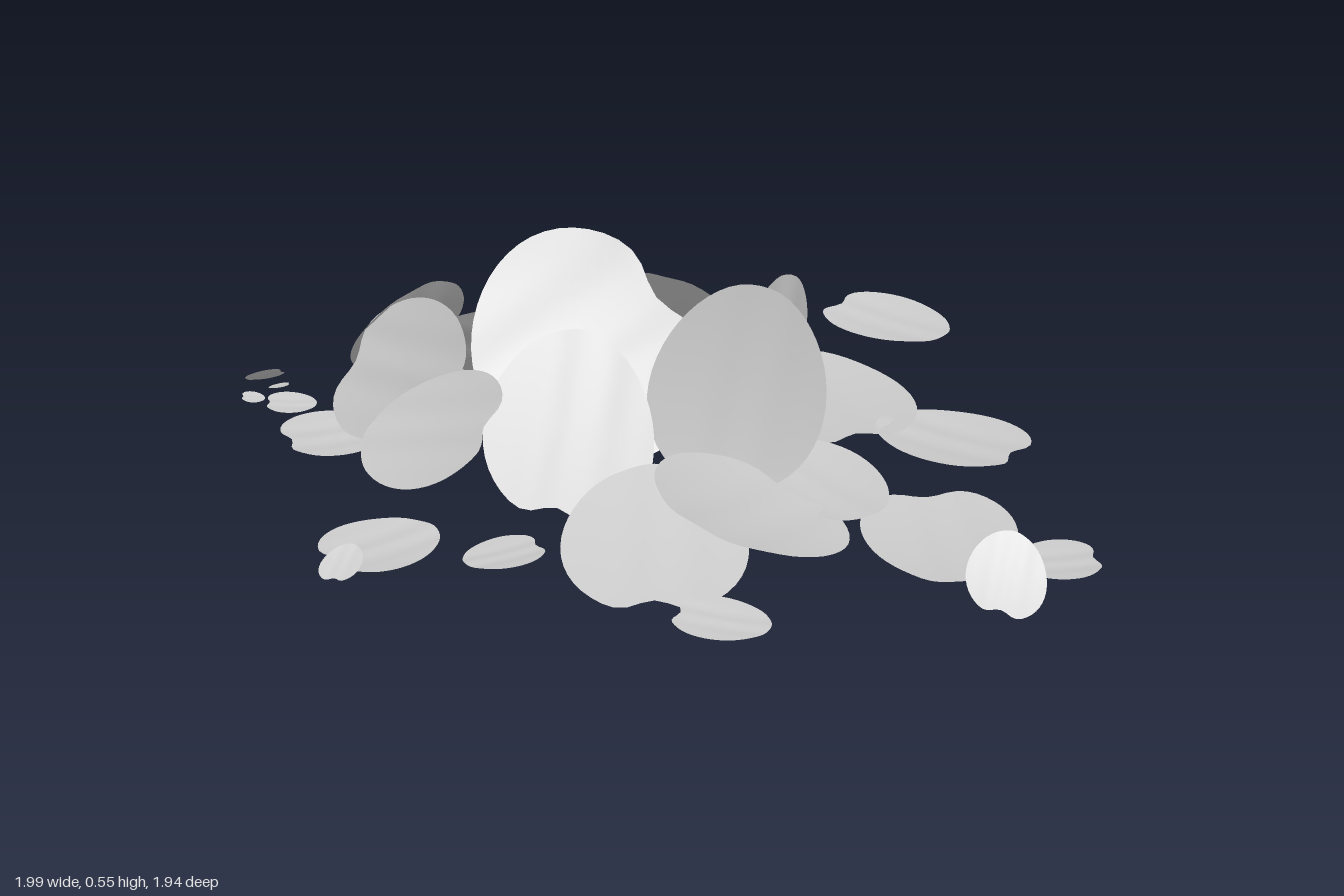
import * as THREE from 'three';

const material = new THREE.MeshStandardMaterial({ color: 0xcccccc, side: THREE.DoubleSide });
const RINGS = 8, SIDES = 48;

// Petal: notched oval, gently cupped and veined.
// centre, half length (towards the notch) and half width are [x, y, z].
function petal(name, centre, halfLength, halfWidth) {
  const c = new THREE.Vector3(...centre);
  const L = new THREE.Vector3(...halfLength);
  const W = new THREE.Vector3(...halfWidth);
  const up = W.clone().cross(L).normalize();
  if (up.y < 0) { W.negate(); up.negate(); }
  const size = W.length();

  const points = [], index = [];
  const addPoint = (u, v) => {
    const lift = size * (0.06 * (u * u + v * v) - 0.03 + 0.012 * Math.cos(9 * v) * (1 - v * v));
    const p = c.clone().addScaledVector(L, u).addScaledVector(W, v).addScaledVector(up, lift);
    points.push(p.x, p.y, p.z);
  };
  addPoint(0, 0);
  for (let r = 1; r <= RINGS; r++) {
    for (let s = 0; s < SIDES; s++) {
      const a = (s / SIDES) * Math.PI * 2;
      const fromNotch = Math.min(a, Math.PI * 2 - a);
      const k = r / RINGS;
      const notch = 0.2 * Math.exp(-Math.pow(fromNotch / 0.27, 2)) * k * k;
      const u = k * Math.cos(a);
      addPoint(u * 1.02 - notch, k * Math.sin(a) * (1 + 0.12 * u));
    }
  }
  const at = (r, s) => 1 + (r - 1) * SIDES + (s % SIDES);
  for (let s = 0; s < SIDES; s++) {
    index.push(0, at(1, s + 1), at(1, s));
    for (let r = 1; r < RINGS; r++) {
      index.push(at(r, s), at(r, s + 1), at(r + 1, s));
      index.push(at(r, s + 1), at(r + 1, s + 1), at(r + 1, s));
    }
  }
  const geometry = new THREE.BufferGeometry();
  geometry.setAttribute('position', new THREE.Float32BufferAttribute(points, 3));
  geometry.setIndex(index);
  geometry.computeVertexNormals();
  const mesh = new THREE.Mesh(geometry, material);
  mesh.name = name;
  return mesh;
}

// Petals lying on the ground: x, z, length, width, notch direction in degrees
const fallen = [
  [0.75, -0.74, 0.37, 0.28, 137],
  [0.075, -0.53, 0.27, 0.21, 140],
  [0.48, -0.24, 0.62, 0.46, 285],
  [0.78, 0.04, 0.4, 0.32, 320],
  [0.4, 0.25, 0.44, 0.33, 120],
  [0.66, 0.53, 0.44, 0.36, 90],
  [0.9, 0.675, 0.2, 0.2, 0],
  [0.11, 0.885, 0.22, 0.17, 160],
  [-0.63, 0.49, 0.29, 0.24, 215],
  [-0.35, 0.56, 0.19, 0.16, 20],
  [-0.41, -0.56, 0.26, 0.2, 320],
  [-0.75, -0.12, 0.28, 0.25, 200],
  [-0.97, -0.345, 0.06, 0.05, 180],
  [-0.905, -0.405, 0.055, 0.045, 0],
  [-0.87, -0.29, 0.13, 0.11, 180],
];

// Petals leaning in the heap: centre, half length, half width
const leaning = [
  [[-0.13, 0.3, -0.01], [0.22, 0.13, -0.085], [-0.18, 0.205, -0.14]],
  [[0.22, 0.3, 0.235], [-0.05, -0.25, 0.02], [0.2, -0.03, 0.06]],
  [[0.3, 0.26, 0.025], [-0.05, -0.23, 0], [0.13, -0.01, -0.145]],
  [[0.2, 0.245, -0.28], [0.06, -0.17, -0.17], [0.2, -0.08, 0.06]],
  [[-0.24, 0.22, -0.23], [0.28, -0.05, -0.06], [0.03, 0.17, 0.15]],
  [[-0.58, 0.22, -0.11], [-0.14, -0.05, -0.19], [0.09, 0.155, -0.07]],
  [[-0.51, 0.19, 0.18], [0.155, 0.06, 0.115], [0.07, 0.12, -0.07]],
  [[-0.18, 0.21, 0.235], [-0.05, -0.16, 0.19], [0.195, -0.04, 0.05]],
  [[-0.56, 0.205, -0.415], [-0.06, -0.16, -0.11], [0.135, 0, -0.085]],
  [[-0.33, 0.15, -0.485], [-0.06, -0.08, -0.075], [0.1, -0.045, -0.06]],
];

// Petals propped at a shallow angle around the heap
const propped = [
  [[-0.01, 0.1, 0.6], [-0.02, -0.06, 0.24], [0.21, 0, 0.02]],
  [[0.21, 0.13, 0.52], [0.14, -0.06, -0.2], [0.18, -0.075, 0.11]],
  [[0.38, 0.045, -0.87], [0.06, -0.028, -0.075], [0.07, 0.02, 0.06]],
  [[0.76, 0.075, 0.78], [-0.03, -0.065, 0.075], [0.085, -0.02, 0.025]],
  [[-0.945, 0.06, -0.46], [0.05, 0.01, 0], [0.01, -0.03, -0.045]],
  [[-0.715, 0.07, 0.6], [-0.02, -0.02, 0.05], [0.045, 0, 0.01]],
];

export function createModel() {
  const model = new THREE.Group();
  model.name = 'petalPile';

  fallen.forEach(([x, z, length, width, degrees], i) => {
    const a = THREE.MathUtils.degToRad(degrees);
    const cos = Math.cos(a), sin = Math.sin(a);
    model.add(petal('fallenPetal', [x, 0.045 + 0.003 * (i % 5), z],
      [cos * length / 2, 0.004, -sin * length / 2],
      [sin * width / 2, 0.004, cos * width / 2]));
  });
  leaning.forEach((p) => model.add(petal('leaningPetal', ...p)));
  propped.forEach((p) => model.add(petal('proppedPetal', ...p)));
  return model;
}
